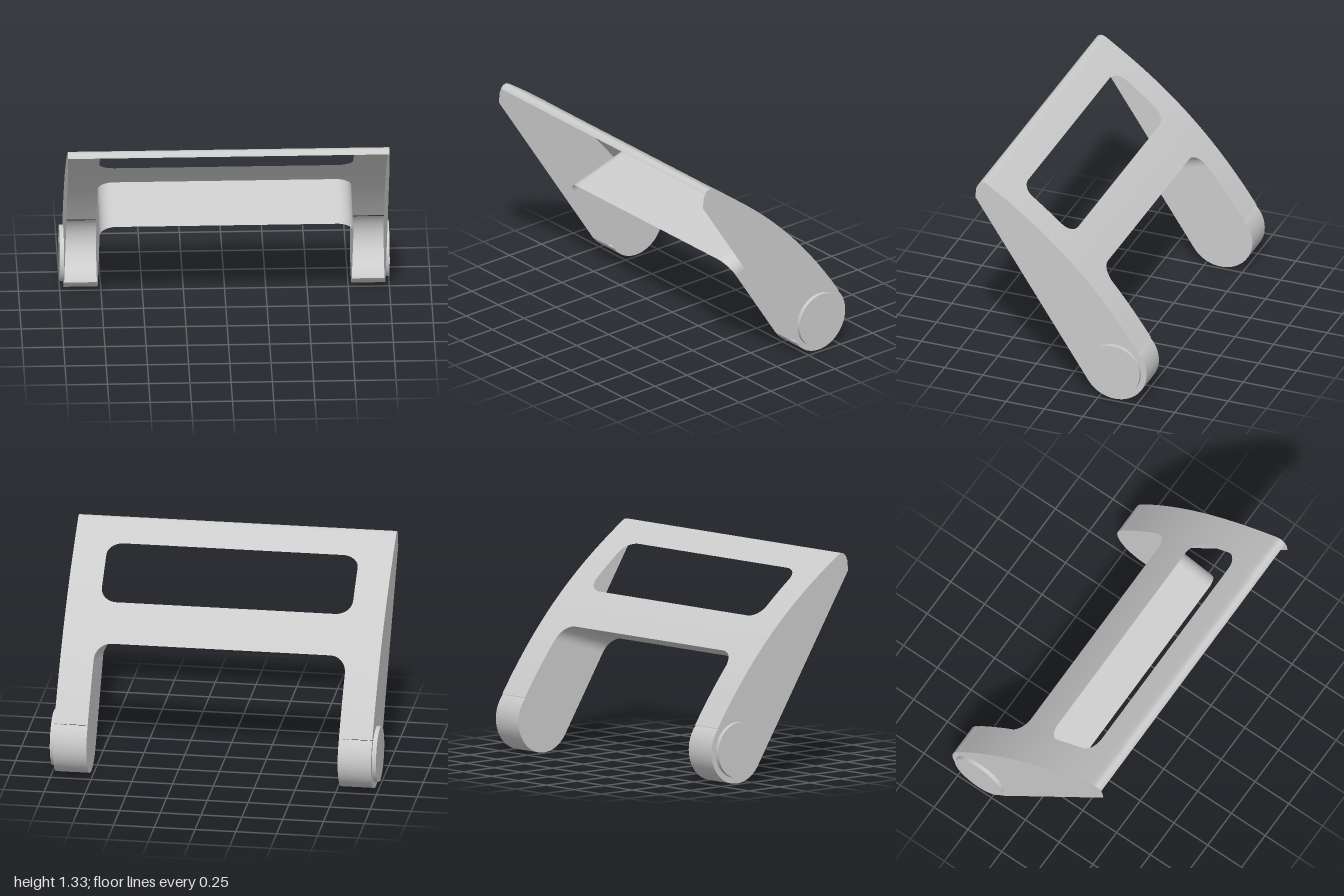
import * as THREE from 'three';

const OUT = 0.975, IN = 0.77, R = 0.1;           // outer face, inner face, corner radius
const NOTCH = -0.185, FILLET = 0.072;            // notch edge on the curved skin
const SLOT = [0.01, 0.335];
const AXLE = [-0.35, 0.207], HUB = 0.207;
const material = new THREE.MeshStandardMaterial({ color: 0xcccccc, side: THREE.DoubleSide });

// Points are [z, y] in the side plane
const curve = z => [z, 0.953 + 0.9235 * z - 0.427 * z * z + 0.2 * z ** 3];
const range = (a, b, n) => Array.from({ length: n + 1 }, (_, i) => a + (b - a) * i / n);
const to3 = (x, p) => new THREE.Vector3(x, p[1], p[0]);

const nose = [[0.543, 1.303], [0.535, 1.315], [0.524, 1.324], [0.511, 1.328], [0.498, 1.328]];
const hub = range(137, 326, 40).map(d => {
  const a = d * Math.PI / 180;
  return [AXLE[0] + HUB * Math.cos(a), AXLE[1] + HUB * Math.sin(a)];
});
const tip = [0.56, 1.218], heel = hub[hub.length - 1];

// How far a curve point lies below the notch edge, square to the cut
const drop = z => {
  const p = curve(z), e = curve(NOTCH);
  return Math.min(R, Math.max(0, (e[0] - p[0]) * 0.297 + (e[1] - p[1]) * 0.955));
};
const round = (s, r) => IN - R + R * Math.sqrt(Math.max(0, 1 - (1 - Math.min(s / r, 1)) ** 2));

// Half-width of the opening between the arms at a given z
function innerEdge(z) {
  if (z <= NOTCH) return round(drop(z), R);
  if (z > SLOT[0] && z < SLOT[1]) return round(Math.min(z - SLOT[0], SLOT[1] - z), 0.07);
  return IN - R;
}

// Point on the open underside at a given drop below the notch edge
function underside(s) {
  const t = (0.655 - heel[1]) / (tip[1] - heel[1]);
  const dir = new THREE.Vector2(tip[0] - heel[0], tip[1] - heel[1]);
  const z = heel[0] + dir.x * t;
  const k = s / (dir.x * 0.297 + dir.y * 0.955);
  return [z - dir.x * k, 0.655 - dir.y * k];
}

// Ruled surface between two rails
function strip(a, b) {
  const pos = [], index = [];
  a.forEach((p, i) => {
    pos.push(...p.toArray(), ...b[i].toArray());
    if (i) index.push(2 * i - 2, 2 * i - 1, 2 * i, 2 * i - 1, 2 * i + 1, 2 * i);
  });
  const g = new THREE.BufferGeometry();
  g.setAttribute('position', new THREE.Float32BufferAttribute(pos, 3));
  g.setIndex(index);
  g.computeVertexNormals();
  return g;
}

// Flat wall in the side plane at x
function wall(points, x) {
  const shape = new THREE.Shape(points.map(p => new THREE.Vector2(...p)));
  return new THREE.ShapeGeometry(shape).rotateY(-Math.PI / 2).translate(x, 0, 0);
}

export function createModel() {
  const model = new THREE.Group();
  const add = (name, geometry) => {
    const mesh = new THREE.Mesh(geometry, material);
    mesh.name = name;
    model.add(mesh);
    return mesh;
  };

  // Stations down the curved skin, closer together at the rounded corners
  const upper = range(0.48, SLOT[1], 6).map(curve);
  const slot = [
    ...range(0, 1, 10).map(t => SLOT[1] - 0.07 * t * t),
    ...range(SLOT[1] - 0.07, SLOT[0] + 0.07, 8).slice(1),
    ...range(1, 0, 10).slice(1).map(t => SLOT[0] + 0.07 * t * t),
  ].map(curve);
  const middle = range(SLOT[0], NOTCH, 8).map(curve);
  const corner = range(0, 1, 12).map(t => NOTCH - FILLET * t * t);
  const lower = range(NOTCH - FILLET, -0.505, 12).map(curve);
  const skin = [...nose, ...upper, ...slot.slice(1), ...middle.slice(1),
    ...corner.slice(1).map(curve), ...lower.slice(1)];

  const side = [...nose, ...upper, ...slot.slice(1), ...middle.slice(1), ...lower, ...hub, tip, [0.553, 1.28]];
  const armInside = [...lower, ...hub, underside(R)];

  for (const s of [-1, 1]) {
    const label = s > 0 ? 'left' : 'right';
    // Rails run from low x to high x so the skin faces outward
    const ruled = (pts, edge) => {
      const a = pts.map(p => to3(s * edge(p[0]), p)), b = pts.map(p => to3(s * OUT, p));
      return s > 0 ? strip(a, b) : strip(b, a);
    };
    add(label + 'ArmSkin', ruled(skin, innerEdge));
    add(label + 'HubSkin', ruled(hub, () => IN));
    add(label + 'OuterWall', wall(side, s * OUT));
    add(label + 'InnerWall', wall(armInside, s * IN));

    // Raised pivot disc
    const disc = add(label + 'PivotDisc', new THREE.CylinderGeometry(0.171, 0.171, 0.025, 64));
    disc.rotation.z = Math.PI / 2;
    disc.position.set(s * (OUT + 0.0125), AXLE[1], AXLE[0]);
  }

  // Cross bars above and below the slot
  const bar = pts => strip(pts.map(p => to3(R - IN, p)), pts.map(p => to3(IN - R, p)));
  add('topBar', bar([...nose, ...upper]));
  add('middleBar', bar(middle));

  // Wall of the notch with its rounded corners
  const half = corner.map(z => ({ x: innerEdge(z), z }));
  const path = [...half.slice().reverse().map(p => ({ x: -p.x, z: p.z })), ...half];
  add('notchWall', strip(
    path.map(p => to3(p.x, underside(drop(p.z)))),
    path.map(p => to3(p.x, curve(p.z)))));

  return model;
}
